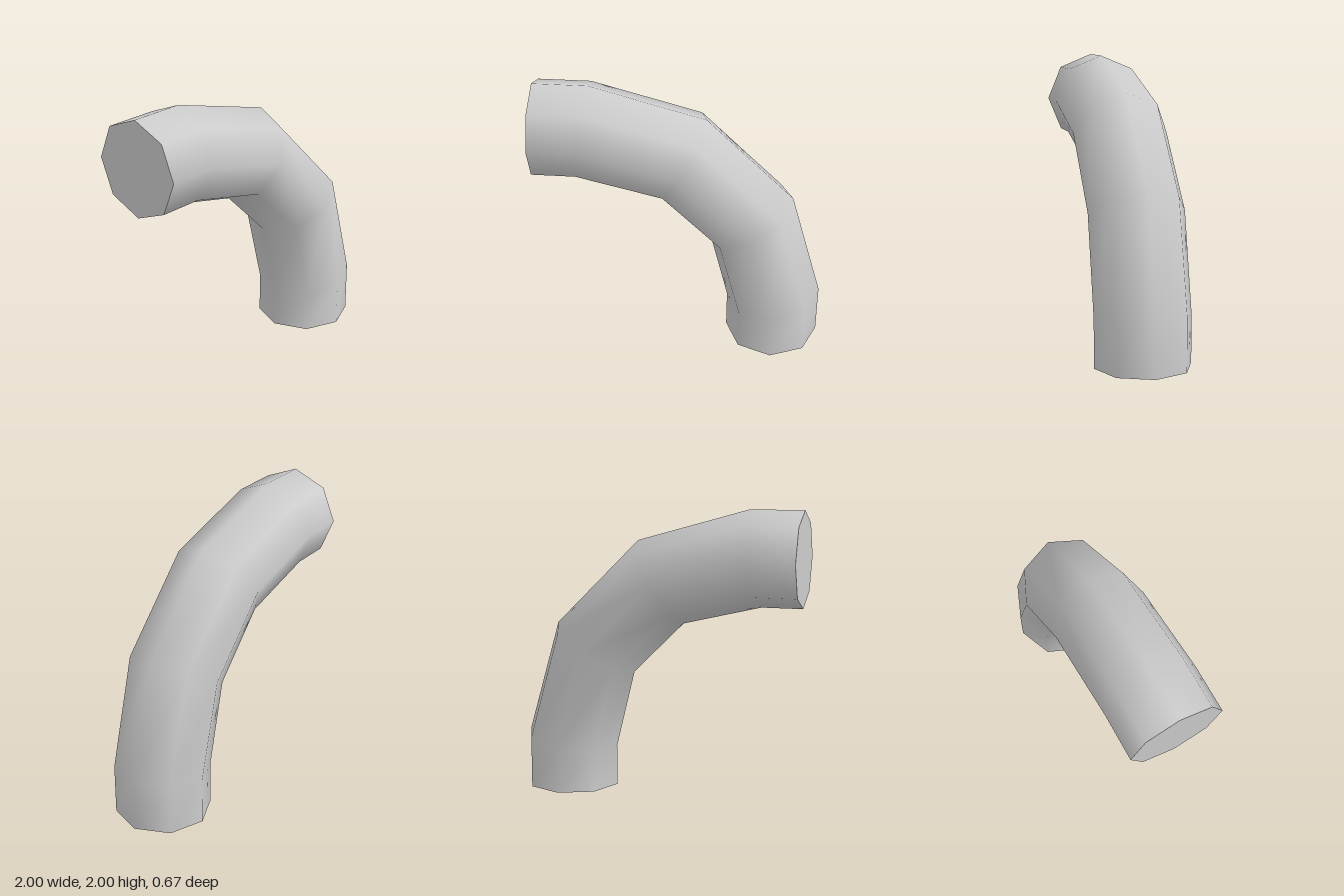
import * as THREE from 'three';

const SIDES = 8, RADIUS = 0.333;

// Mitred rings along the bend: outer x, y, then inner x, y
const RINGS = [
  [1, 0, 0.334, 0],
  [1, 0.376, 0.334, 0.288],
  [0.774, 1.17, 0.2, 0.839],
  [0.17, 1.774, -0.161, 1.2],
  [-0.624, 2, -0.712, 1.334],
  [-1, 2, -1, 1.334],
];

// Smooth octagonal skin joining the rings
function bendGeometry() {
  const positions = [], index = [];
  RINGS.forEach(([ox, oy, ix, iy], i) => {
    for (let j = 0; j < SIDES; j++) {
      const angle = (j / SIDES) * Math.PI * 2;
      const t = (1 + Math.cos(angle)) / 2;
      positions.push(ix + (ox - ix) * t, iy + (oy - iy) * t, RADIUS * Math.sin(angle));
      if (i === RINGS.length - 1) continue;
      const a = i * SIDES + j, b = i * SIDES + ((j + 1) % SIDES);
      index.push(a, a + SIDES, b, b, a + SIDES, b + SIDES);
    }
  });
  const geometry = new THREE.BufferGeometry();
  geometry.setAttribute('position', new THREE.Float32BufferAttribute(positions, 3));
  geometry.setIndex(index);
  geometry.computeVertexNormals();
  return geometry;
}

export function createModel() {
  const group = new THREE.Group();
  group.name = 'pipeElbow';
  const grey = new THREE.MeshStandardMaterial({ color: 0xcccccc });
  grey.name = 'light grey';

  const add = (name, geometry) => {
    const mesh = new THREE.Mesh(geometry, grey);
    mesh.name = name;
    group.add(mesh);
    return mesh;
  };

  add('bentPipe', bendGeometry());

  // Flat end caps
  const bottom = add('bottomCap', new THREE.CircleGeometry(RADIUS, SIDES));
  bottom.rotation.x = Math.PI / 2;
  bottom.position.set(0.667, 0, 0);
  const side = add('sideCap', new THREE.CircleGeometry(RADIUS, SIDES));
  side.rotation.y = -Math.PI / 2;
  side.position.set(-1, 1.667, 0);

  return group;
}
